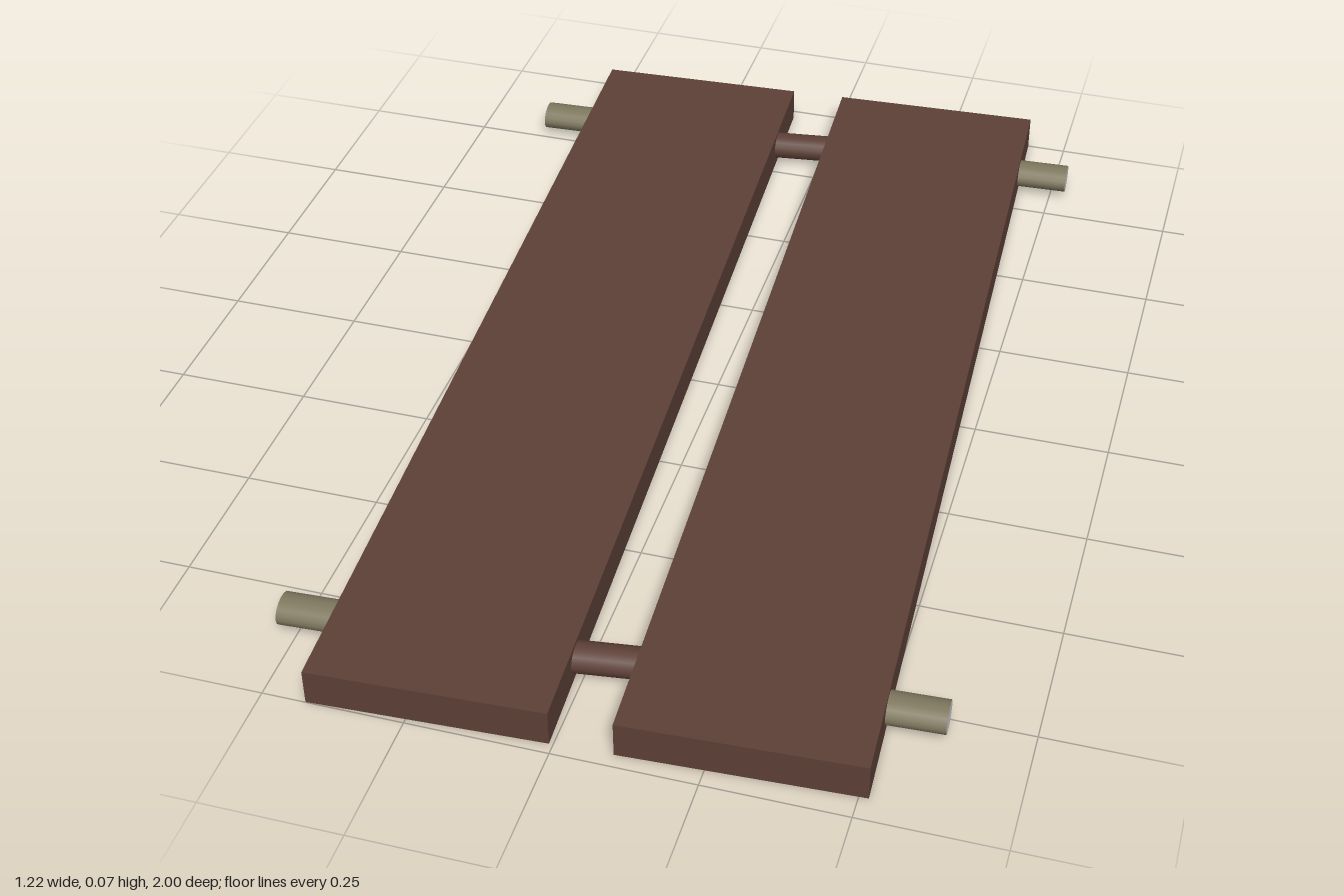
import * as THREE from 'three';

export function createModel() {
  const model = new THREE.Group();
  const wood = new THREE.MeshStandardMaterial({ color: 0x5d4037 });
  const bark = new THREE.MeshStandardMaterial({ color: 0x7f785f });
  const cut = new THREE.MeshStandardMaterial({ color: 0xcccccc });

  // The whole assembly lies slightly turned on the ground
  const deck = new THREE.Group();
  deck.name = 'deck';
  deck.rotation.y = 0.048;
  model.add(deck);

  // Oval rod lying along x
  const rod = (name, length, ry, rz, materials, x, z) => {
    const geometry = new THREE.CylinderGeometry(1, 1, length, 16);
    geometry.rotateZ(Math.PI / 2).scale(1, ry, rz);
    const mesh = new THREE.Mesh(geometry, materials);
    mesh.name = name;
    mesh.position.set(x, 0.037, z);
    deck.add(mesh);
    return mesh;
  };

  for (const side of [-1, 1]) {
    const sideName = side > 0 ? 'left' : 'right';

    // Long plank
    const plank = new THREE.Mesh(new THREE.BoxGeometry(0.416, 0.068, 1.956), wood);
    plank.name = sideName + 'Plank';
    plank.position.set(side * 0.262, 0.034, 0);
    deck.add(plank);

    // Pegs sticking out of the outer edge, with pale cut ends
    for (const end of [-1, 1]) {
      const name = sideName + (end > 0 ? 'Front' : 'Back') + 'Peg';
      rod(name, 0.2, 0.025, 0.033, [bark, cut, cut], side * 0.47, end * 0.81);
    }
  }

  // Short dowels joining the planks across the gap
  for (const end of [-1, 1]) {
    const dowel = rod(end > 0 ? 'frontDowel' : 'backDowel', 0.24, 0.026, 0.03, wood, 0, end * 0.807);
    dowel.rotation.y = 0.08;
  }

  return model;
}
